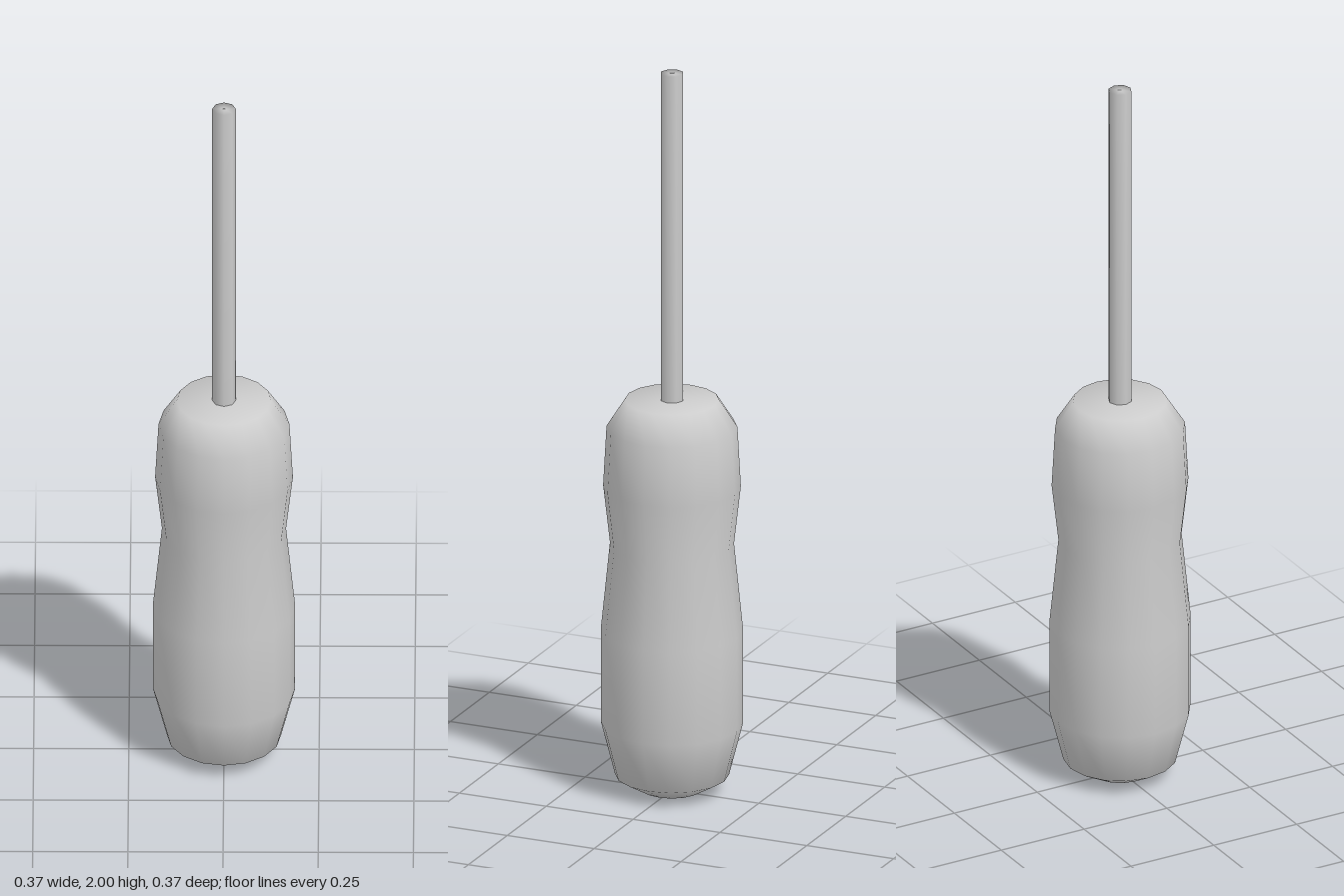
import * as THREE from 'three';

// Smooth-shaded turned part from [radius, height] pairs, bottom to top
function turned(name, profile, sides) {
  const points = profile.map(([r, y]) => new THREE.Vector2(r, y));
  const mesh = new THREE.Mesh(
    new THREE.LatheGeometry(points, sides),
    new THREE.MeshStandardMaterial({ color: 0xcccccc })
  );
  mesh.name = name;
  return mesh;
}

export function createModel() {
  const group = new THREE.Group();
  group.name = 'screwdriver';

  // Contoured grip with a narrow waist and chamfered ends
  group.add(turned('handle', [
    [0, 0], [0.08, 0.005], [0.15, 0.045], [0.187, 0.19], [0.187, 0.45],
    [0.163, 0.69], [0.181, 0.85], [0.172, 1.015], [0.124, 1.09], [0, 1.09],
  ], 16));

  // Plain round shaft with closed ends
  group.add(turned('shaft', [
    [0, 1.08], [0.031, 1.08], [0.031, 2], [0, 2],
  ], 8));

  return group;
}
